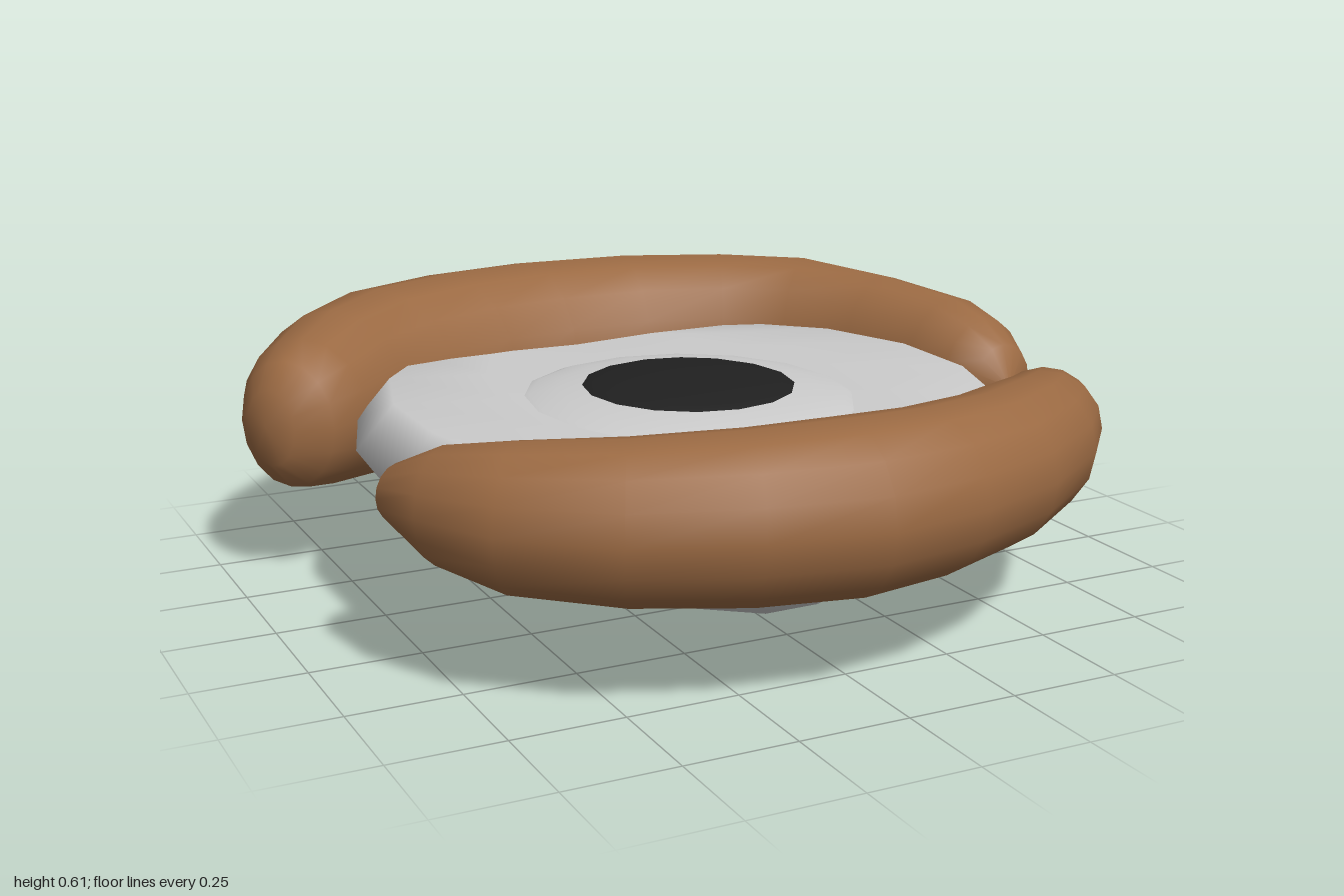
import * as THREE from 'three';

const grey = new THREE.MeshStandardMaterial({ color: 0xcccccc });
const brown = new THREE.MeshStandardMaterial({ color: 0x9b6a43 });
const black = new THREE.MeshStandardMaterial({ color: 0x202020 });
const CX = -0.04, CZ = 0.095;

// Skin over closed rings of points; each ring runs counter-clockwise about the travel direction
function loft(rings) {
  const n = rings[0].length, pos = [], index = [];
  rings.forEach(r => r.forEach(p => pos.push(...p)));
  for (let i = 0; i < rings.length - 1; i++) {
    for (let j = 0; j < n; j++) {
      const a = i * n + j, b = i * n + (j + 1) % n;
      index.push(a, b, a + n, b, b + n, a + n);
    }
  }
  const g = new THREE.BufferGeometry();
  g.setAttribute('position', new THREE.Float32BufferAttribute(pos, 3));
  g.setIndex(index);
  g.computeVertexNormals();
  return g;
}

// Eyelid: stations of [outer x, outer z, inner x, inner z, half height]
function lid(stations, y) {
  const sides = 16;
  return loft(stations.map(([ox, oz, ix, iz, h]) => {
    const cx = (ox + ix) / 2, cz = (oz + iz) / 2;
    return Array.from({ length: sides }, (_, j) => {
      const a = j / sides * Math.PI * 2, c = Math.cos(a);
      return [cx + (ox - cx) * c, y + h * Math.sin(a), cz + (oz - cz) * c];
    });
  }));
}

// Eyeball: keel-shaped below, slightly dished on top, shrinking towards both ends
function eyeball() {
  const half = [[0, 0], [0.38, 0.09], [0.65, 0.24], [0.75, 0.38], [0.66, 0.475], [0.38, 0.455], [0, 0.44]];
  const section = [...half, ...half.slice(1, -1).reverse().map(([x, y]) => [-x, y])];
  const ends = [[0.13, 1], [0.38, 0.89], [0.6, 0.66], [0.73, 0.36], [0.77, 0]];
  const rings = [...ends.map(([z, s]) => [-z, s]).reverse(), ...ends];
  return loft(rings.map(([z, s]) =>
    section.map(([x, y]) => [CX + x * s, 0.42 + (y - 0.42) * s, CZ + z])));
}

const upperLid = [
  [-0.92, -0.31, -0.92, -0.31, 0],
  [-0.95, -0.35, -0.87, -0.245, 0.09],
  [-0.95, -0.4, -0.78, -0.23, 0.15],
  [-0.92, -0.5, -0.68, -0.28, 0.18],
  [-0.83, -0.65, -0.55, -0.39, 0.21],
  [-0.67, -0.81, -0.4, -0.46, 0.228],
  [-0.4, -0.94, -0.22, -0.52, 0.23],
  [-0.1, -1, -0.04, -0.545, 0.23],
  [0.2, -0.96, 0.17, -0.545, 0.23],
  [0.5, -0.82, 0.35, -0.49, 0.23],
  [0.72, -0.62, 0.48, -0.4, 0.23],
  [0.86, -0.36, 0.57, -0.24, 0.21],
  [0.94, -0.1, 0.64, -0.06, 0.185],
  [0.945, 0.0, 0.68, 0.05, 0.15],
  [0.91, 0.09, 0.73, 0.115, 0.1],
  [0.82, 0.14, 0.82, 0.14, 0]
];
const lowerLid = [
  [0.76, 0.285, 0.76, 0.285, 0],
  [0.82, 0.34, 0.69, 0.3, 0.06],
  [0.82, 0.47, 0.58, 0.39, 0.12],
  [0.77, 0.57, 0.48, 0.47, 0.14],
  [0.64, 0.72, 0.38, 0.53, 0.16],
  [0.43, 0.87, 0.25, 0.59, 0.17],
  [0.2, 0.96, 0.1, 0.63, 0.178],
  [-0.04, 1, -0.04, 0.63, 0.183],
  [-0.3, 0.955, -0.2, 0.62, 0.178],
  [-0.55, 0.86, -0.4, 0.56, 0.168],
  [-0.75, 0.69, -0.58, 0.48, 0.155],
  [-0.845, 0.51, -0.67, 0.39, 0.125],
  [-0.87, 0.35, -0.76, 0.29, 0.06],
  [-0.82, 0.275, -0.82, 0.275, 0]
];

export function createModel() {
  const model = new THREE.Group();
  const add = (name, geometry, material) => {
    const mesh = new THREE.Mesh(geometry, material);
    mesh.name = name;
    model.add(mesh);
    return mesh;
  };
  add('eyeball', eyeball(), grey);
  add('upperEyelid', lid(upperLid, 0.38), brown);
  add('lowerEyelid', lid(lowerLid, 0.39), brown);

  // Iris and pupil are flattened spheres
  const disc = (name, r, ry, y, material) => {
    const mesh = add(name, new THREE.SphereGeometry(1, 16, 12), material);
    mesh.scale.set(r * 0.96, ry, r);
    mesh.position.set(CX, y, CZ);
  };
  disc('iris', 0.435, 0.065, 0.425, grey);
  disc('pupil', 0.26, 0.03, 0.47, black);
  return model;
}
